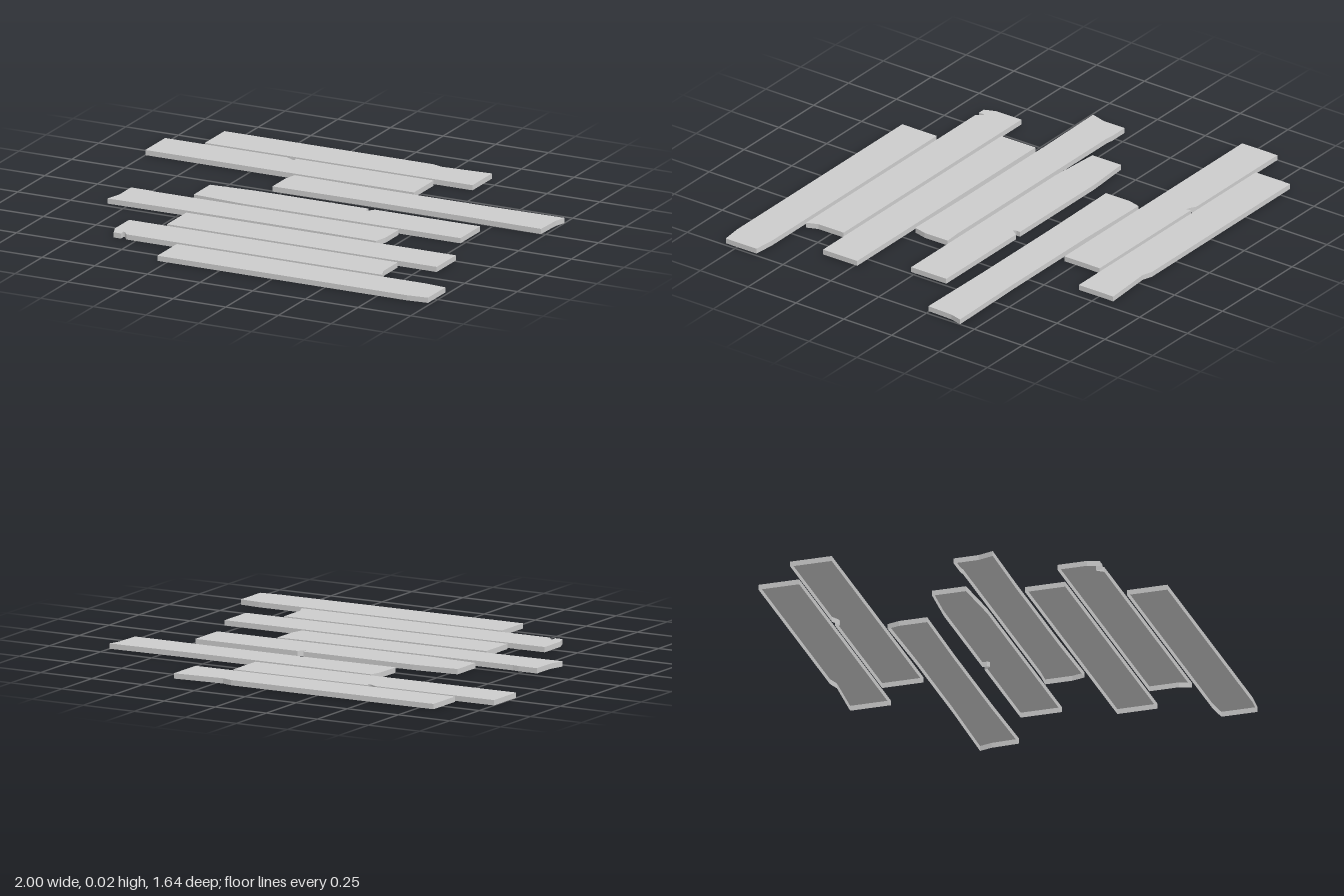
import * as THREE from 'three';
import { mergeGeometries } from 'three/addons/utils/BufferGeometryUtils.js';

const HEIGHT = 0.023;

// Plank outlines as [x, z], from the back left corner: right, forward, left, back
const PLANKS = [
  [[-0.82, -0.825], [0.17, -0.825], [0.22, -0.81], [0.45, -0.825], [0.45, -0.645], [-0.82, -0.645]],
  [[-1, -0.627], [-0.42, -0.627], [-0.385, -0.607], [-0.375, -0.607], [-0.38, -0.627],
    [0.275, -0.627], [0.275, -0.443], [-1, -0.443]],
  [[-0.28, -0.425], [0.1, -0.418], [0.6, -0.418], [1, -0.425], [0.985, -0.37], [0.98, -0.245],
    [0.6, -0.25], [0.1, -0.25], [-0.295, -0.245], [-0.295, -0.37]],
  [[-0.54, -0.145], [-0.33, -0.16], [0.205, -0.16], [0.205, -0.14], [0.212, -0.128], [0.235, -0.16],
    [0.735, -0.16], [0.735, 0.023], [-0.3, 0.023], [-0.54, 0.005]],
  [[-0.82, 0.04], [-0.73, 0.04], [-0.7, 0.045], [0.37, 0.045], [0.45, 0.04], [0.45, 0.16],
    [0.435, 0.22], [0.1, 0.215], [-0.5, 0.215], [-0.84, 0.22], [-0.82, 0.15]],
  [[-0.455, 0.24], [0.825, 0.24], [0.825, 0.418], [-0.455, 0.418]],
  [[-0.625, 0.438], [0.65, 0.438], [0.65, 0.57], [0.67, 0.62], [-0.545, 0.62], [-0.565, 0.593],
    [-0.572, 0.593], [-0.57, 0.62], [-0.605, 0.62], [-0.625, 0.57]],
  [[-0.295, 0.64], [0.89, 0.64], [0.985, 0.65], [0.985, 0.81], [0.89, 0.82], [-0.295, 0.82]],
];

// A flat top with side walls, open underneath
function plankGeometry(outline) {
  const shape = new THREE.Shape(outline.map(([x, z]) => new THREE.Vector2(x, -z)));
  const top = new THREE.ShapeGeometry(shape).rotateX(-Math.PI / 2).translate(0, HEIGHT, 0).toNonIndexed();
  top.deleteAttribute('uv');

  const positions = [];
  outline.forEach(([ax, az], i) => {
    const [bx, bz] = outline[(i + 1) % outline.length];
    positions.push(ax, HEIGHT, az, bx, HEIGHT, bz, bx, 0, bz);
    positions.push(ax, HEIGHT, az, bx, 0, bz, ax, 0, az);
  });
  const walls = new THREE.BufferGeometry();
  walls.setAttribute('position', new THREE.Float32BufferAttribute(positions, 3));
  walls.computeVertexNormals();
  return mergeGeometries([top, walls]);
}

export function createModel() {
  const group = new THREE.Group();
  group.name = 'woodenPlanks';
  const material = new THREE.MeshStandardMaterial({ color: 0xcccccc, side: THREE.DoubleSide });
  PLANKS.forEach((outline, i) => {
    const plank = new THREE.Mesh(plankGeometry(outline), material);
    plank.name = `plank${i + 1}`;
    group.add(plank);
  });
  return group;
}
